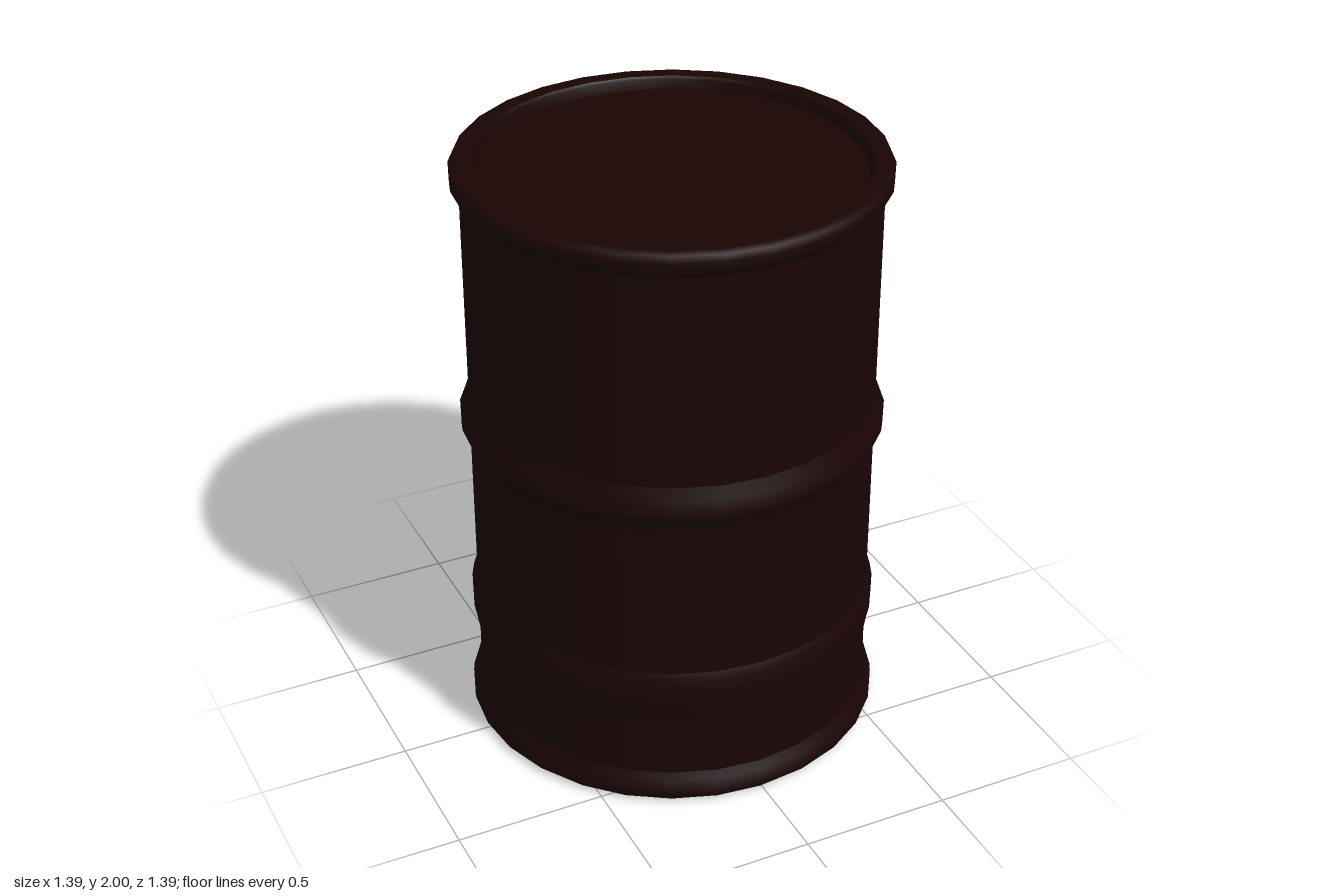
import * as THREE from 'three';

const SIDES = 28;
const WALL = 0.666;

export function createModel() {
  const barrel = new THREE.Group();
  barrel.name = 'barrel';
  const paint = new THREE.MeshStandardMaterial({ color: 0x1a0404 });
  paint.name = 'dark red brown paint';

  // Each part is a ring turned from a [radius, height] profile, bottom to top
  const turn = (name, profile) => {
    const points = profile.map(([r, y]) => new THREE.Vector2(r, y));
    const mesh = new THREE.Mesh(new THREE.LatheGeometry(points, SIDES), paint);
    mesh.name = name;
    mesh.position.x = -0.004;
    barrel.add(mesh);
  };

  // Flat base and flared foot
  turn('base', [[0, 0], [0.676, 0]]);
  turn('bottomRim', [[0.676, 0], [0.696, 0.02], [0.694, 0.045], [0.678, 0.075], [WALL, 0.1]]);

  // Straight wall sections between the hoops
  const walls = [
    ['lowerWall', 0.1, 0.3],
    ['middleWall', 0.5, 1.04],
    ['upperWall', 1.2, 1.915],
  ];
  for (const [name, y0, y1] of walls) turn(name, [[WALL, y0], [WALL, y1]]);

  // Rolled hoops: the lower one is shallow, the upper one is pronounced
  turn('lowerHoop', [[WALL, 0.3], [0.676, 0.36], [0.684, 0.4], [0.684, 0.43], [0.676, 0.475], [WALL, 0.5]]);
  turn('upperHoop', [[WALL, 1.04], [0.674, 1.07], [0.693, 1.095], [0.695, 1.12], [0.68, 1.16], [WALL, 1.2]]);

  // Top rim: rounded outside, nearly flat on top, with a steep drop to the sunken lid
  turn('topRim', [[WALL, 1.915], [0.678, 1.928], [0.693, 1.945], [0.695, 1.975], [0.686, 1.995], [0.66, 2], [0.63, 1.997]]);
  turn('topRimInside', [[0.63, 1.997], [0.622, 1.988], [0.617, 1.955]]);
  turn('lid', [[0.617, 1.955], [0, 1.955]]);

  return barrel;
}
